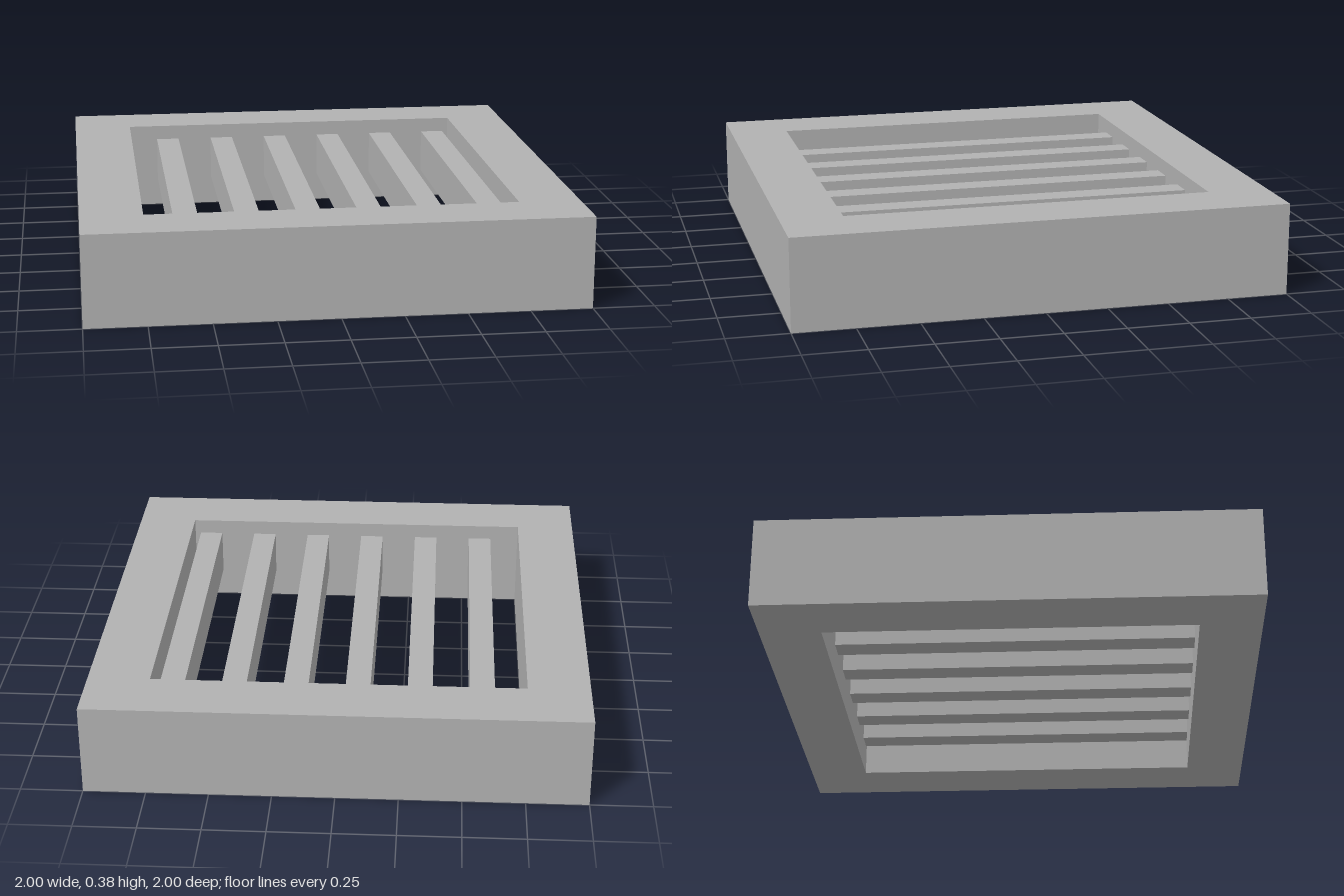
import * as THREE from 'three';

const HEIGHT = 0.375;

export function createModel() {
  const model = new THREE.Group();
  model.name = 'grate';

  const grey = new THREE.MeshStandardMaterial({ color: 0xb2b2b2 });
  grey.name = 'grey';

  // Square surround with a square opening
  const square = (Base, r) => new Base([
    new THREE.Vector2(-r, -r), new THREE.Vector2(r, -r),
    new THREE.Vector2(r, r), new THREE.Vector2(-r, r),
  ]);
  const outline = square(THREE.Shape, 1);
  outline.holes.push(square(THREE.Path, 0.75));
  const frameGeometry = new THREE.ExtrudeGeometry(outline, { depth: HEIGHT, bevelEnabled: false });
  frameGeometry.rotateX(-Math.PI / 2);
  const frame = new THREE.Mesh(frameGeometry, grey);
  frame.name = 'frame';
  model.add(frame);

  // Six bars set between the top and bottom of the frame, slightly off centre
  const barBottom = 0.125, barTop = 0.3125;
  const barGeometry = new THREE.BoxGeometry(0.1, barTop - barBottom, 1.5);
  const bars = new THREE.Group();
  bars.name = 'bars';
  for (let i = 0; i < 6; i++) {
    const bar = new THREE.Mesh(barGeometry, grey);
    bar.name = `bar${i + 1}`;
    bar.position.set(-0.575 + i * 0.25, (barBottom + barTop) / 2, 0);
    bars.add(bar);
  }
  model.add(bars);

  return model;
}
